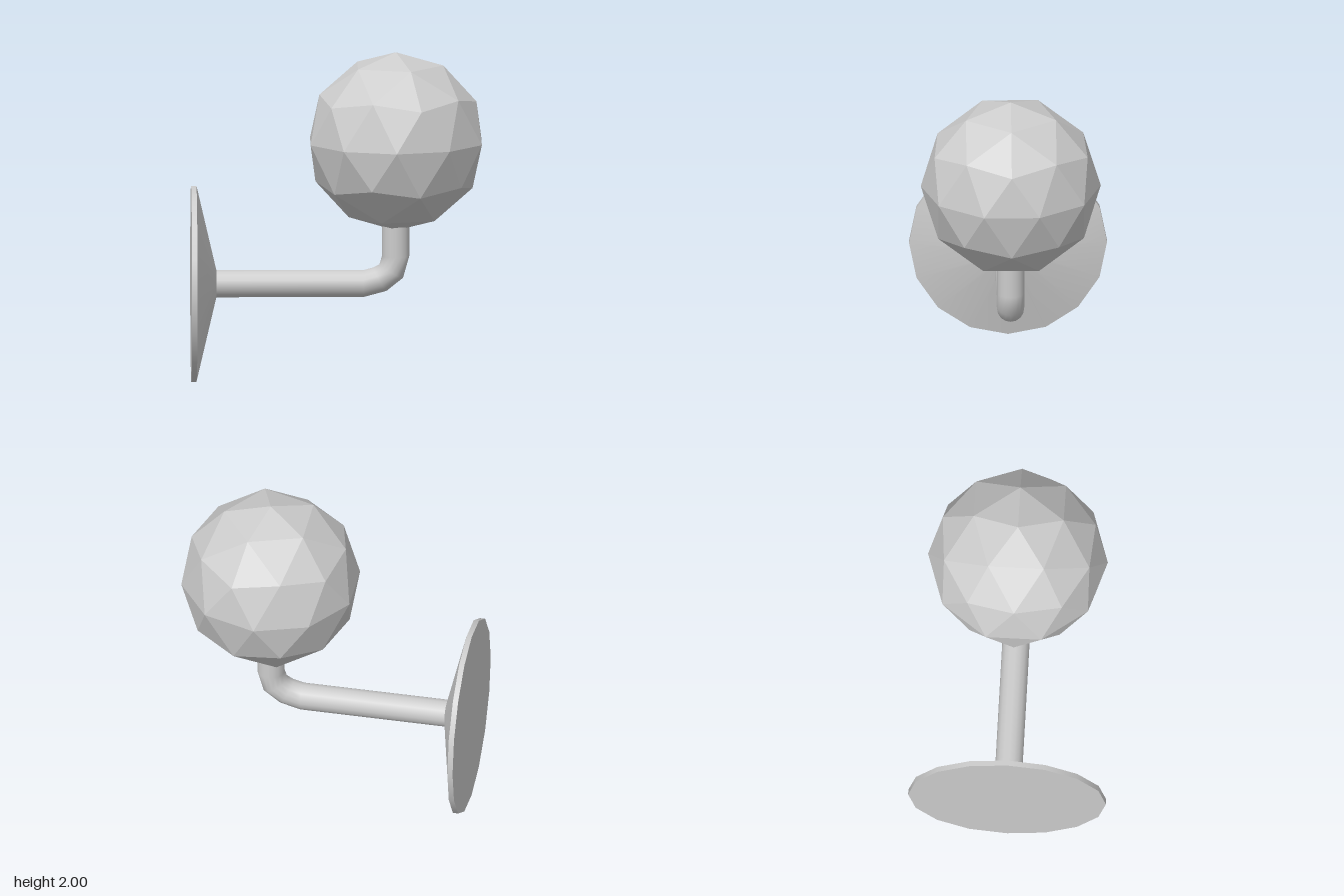
import * as THREE from 'three';

export function createModel() {
  const group = new THREE.Group();
  const grey = new THREE.MeshStandardMaterial({ color: 0xcccccc });
  grey.name = 'light grey';

  const add = (name, geometry, x = 0, y = 0) => {
    const mesh = new THREE.Mesh(geometry, grey);
    mesh.name = name;
    mesh.position.set(x, y, 0);
    group.add(mesh);
  };

  // Wall plate: thin 16-sided rim with a shallow cone towards the arm
  const plateY = 0.598, plateR = 0.594;
  add('plateRim', new THREE.CylinderGeometry(plateR, plateR, 0.032, 16).rotateZ(-Math.PI / 2), -0.857, plateY);
  add('plateCone', new THREE.CylinderGeometry(0.07, plateR, 0.122, 16, 1, true).rotateZ(-Math.PI / 2), -0.78, plateY);

  // Bent arm: rings along a path, each [x, y, direction in degrees]
  const rings = [
    [-0.8, 0.598, 0], [0.16, 0.598, 0], [0.257, 0.624, 30],
    [0.327, 0.674, 60], [0.353, 0.765, 90], [0.353, 0.98, 90],
  ];
  const armR = 0.082, steps = rings.length - 1;
  const arm = new THREE.CylinderGeometry(armR, armR, 1, 16, steps, true);
  const pos = arm.attributes.position, nor = arm.attributes.normal;
  for (let i = 0; i < pos.count; i++) {
    const [x, y, deg] = rings[Math.round((pos.getY(i) + 0.5) * steps)];
    const a = THREE.MathUtils.degToRad(deg);
    const side = pos.getX(i), z = pos.getZ(i);
    pos.setXYZ(i, x + side * Math.sin(a), y - side * Math.cos(a), z);
    nor.setXYZ(i, side * Math.sin(a) / armR, -side * Math.cos(a) / armR, z / armR);
  }
  add('bentArm', arm);

  // Faceted ball, turned so one corner points straight up
  const ball = new THREE.IcosahedronGeometry(0.54, 1);
  ball.rotateZ(-Math.atan(2 / (1 + Math.sqrt(5))));
  ball.computeVertexNormals();
  add('ball', ball, 0.355, 1.46);

  return group;
}
